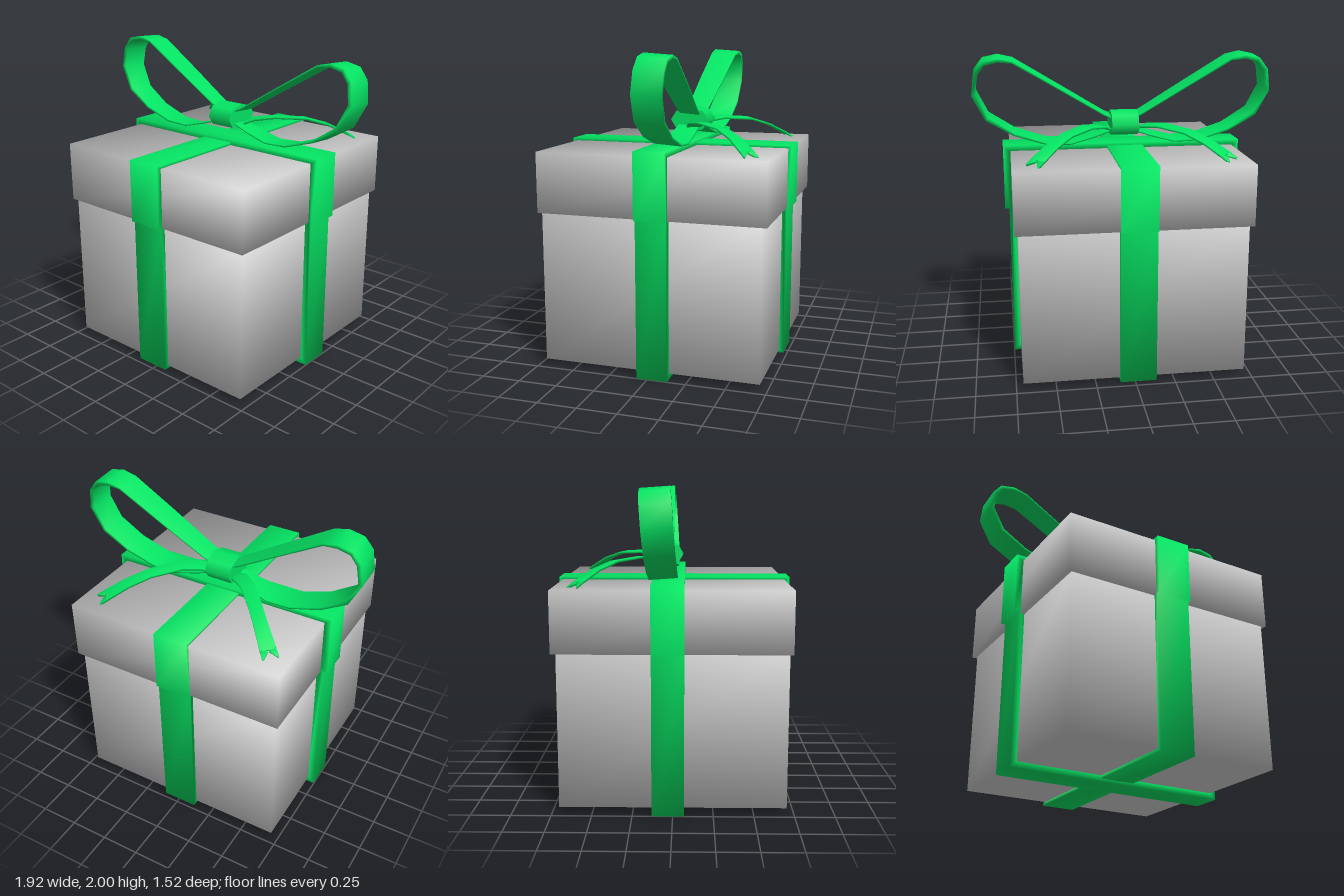
import * as THREE from 'three';
import { mergeVertices } from 'three/addons/utils/BufferGeometryUtils.js';

const paper = new THREE.MeshStandardMaterial({ name: 'grey paper', color: 0xcccccc });
const ribbon = new THREE.MeshStandardMaterial({ name: 'green ribbon', color: 0x04e463 });

const V = (x, y, z) => new THREE.Vector3(x, y, z);

function mesh(name, geometry, material, parent) {
  const m = new THREE.Mesh(geometry, material);
  m.name = name;
  parent.add(m);
  return m;
}

// Shares the corners of a geometry so that its shading runs softly over the edges
function soften(geometry) {
  geometry.deleteAttribute('normal');
  geometry.deleteAttribute('uv');
  const g = mergeVertices(geometry, 1e-4);
  g.computeVertexNormals();
  return g;
}

// Box with evenly softened corners
function softBox(w, h, d) {
  const g = soften(new THREE.BoxGeometry(w, h, d));
  const p = g.attributes.position, n = g.attributes.normal, k = Math.sqrt(1 / 3);
  for (let i = 0; i < p.count; i++) {
    n.setXYZ(i, Math.sign(p.getX(i)) * k, Math.sign(p.getY(i)) * k, Math.sign(p.getZ(i)) * k);
  }
  return g;
}

// Sweeps a flat rectangular band along points: [position, half width, thickness]
function band(rows, widthDir) {
  const pos = [], index = [];
  rows.forEach(([p, half, thick], i) => {
    const before = rows[Math.max(i - 1, 0)][0];
    const after = rows[Math.min(i + 1, rows.length - 1)][0];
    const t = after.clone().sub(before).normalize();
    const w = widthDir.clone().addScaledVector(t, -widthDir.dot(t)).normalize();
    const n = t.clone().cross(w);
    for (const [a, b] of [[1, 1], [-1, 1], [-1, -1], [1, -1]]) {
      const c = p.clone().addScaledVector(w, a * half).addScaledVector(n, b * thick / 2);
      pos.push(c.x, c.y, c.z);
    }
  });
  for (let i = 0; i < rows.length - 1; i++) {
    for (let k = 0; k < 4; k++) {
      const a = i * 4 + k, b = i * 4 + (k + 1) % 4;
      index.push(a, b, b + 4, a, b + 4, a + 4);
    }
  }
  const e = (rows.length - 1) * 4;
  index.push(0, 2, 1, 0, 3, 2, e, e + 1, e + 2, e, e + 2, e + 3);
  const g = new THREE.BufferGeometry();
  g.setAttribute('position', new THREE.Float32BufferAttribute(pos, 3));
  g.setIndex(index);
  g.computeVertexNormals();
  return g;
}

// Ribbon frame around the box, wider where it passes over the lid
function wrap(bodyHalf, lidHalf, bottom, top, width) {
  const outline = (b, l, y0, y1, step) => [
    [-b, y0], [b, y0], [b, step], [l, step], [l, y1], [-l, y1], [-l, step], [-b, step],
  ].map(([x, y]) => new THREE.Vector2(x, y));
  const shape = new THREE.Shape(outline(bodyHalf, lidHalf, bottom, top, 1.01));
  shape.holes.push(new THREE.Path(outline(bodyHalf - 0.05, lidHalf - 0.05, 0.05, 1.385, 1.05)));
  return soften(new THREE.ExtrudeGeometry(shape, { depth: width, bevelEnabled: false }));
}

export function createModel() {
  const group = new THREE.Group();
  group.name = 'giftBox';

  // Box and overhanging lid
  mesh('boxBody', softBox(1.41, 0.98, 1.41), paper, group).position.set(0, 0.53, 0);
  mesh('lid', softBox(1.46, 0.385, 1.46), paper, group).position.set(0, 1.2025, -0.005);

  // Two ribbons crossing at top and bottom
  const side = mesh('sideRibbon', wrap(0.748, 0.777, 0, 1.43, 0.2), ribbon, group);
  side.position.z = -0.13;
  const front = mesh('frontRibbon', wrap(0.735, 0.758, 0.02, 1.412, 0.23), ribbon, group);
  front.rotation.y = Math.PI / 2;
  front.position.x = -0.13;

  // Bow
  const bow = new THREE.Group();
  bow.name = 'bow';
  group.add(bow);

  // Loop path: x, y, half width, thickness
  const loop = [
    [0.03, 1.58, 0.065, 0.01], [0.12, 1.62, 0.07, 0.01], [0.4, 1.79, 0.082, 0.01],
    [0.7, 1.97, 0.088, 0.014], [0.79, 1.985, 0.09, 0.025], [0.88, 1.965, 0.09, 0.028],
    [0.93, 1.9, 0.092, 0.028], [0.948, 1.77, 0.092, 0.028], [0.87, 1.615, 0.092, 0.025],
    [0.7, 1.51, 0.092, 0.016], [0.5, 1.445, 0.09, 0.012], [0.34, 1.438, 0.085, 0.01],
    [0.18, 1.48, 0.075, 0.01], [0.03, 1.53, 0.065, 0.01],
  ];
  // Tail path: x, y, z, half width
  const tail = [
    [0.03, 1.49, -0.08, 0.05], [0.14, 1.54, -0.13, 0.05], [0.24, 1.552, -0.21, 0.045],
    [0.38, 1.535, -0.37, 0.042], [0.48, 1.49, -0.48, 0.044], [0.575, 1.425, -0.575, 0.05],
  ];

  for (const [s, label] of [[1, 'left'], [-1, 'right']]) {
    const rows = loop.map(([x, y, h, t]) => [V(s * x, y, -0.06 - (y - 1.43) * 0.07), h, t]);
    mesh(label + 'Loop', band(rows, V(0, 0.07, 1)), ribbon, bow);

    const tailRows = tail.map(([x, y, z, h]) => [V(s * x, y, z), h, 0.014]);
    const across = V(s * 0.707, 0.1, 0.707).normalize();
    mesh(label + 'Tail', band(tailRows, across), ribbon, bow);

    // Swallow-tail cut: two pointed prongs
    const [end, half] = tailRows[tailRows.length - 1];
    for (const k of [1, -1]) {
      const root = end.clone().addScaledVector(across, k * half / 2);
      const tip = end.clone().addScaledVector(across, k * half * 0.95).add(V(s * 0.035, -0.028, -0.035));
      mesh(label + 'TailTip', band([[root, half / 2, 0.014], [tip, 0.003, 0.014]], across), ribbon, bow);
    }
  }

  // Knot wrapped round the middle of the bow
  const knotShape = new THREE.CylinderGeometry(1, 1, 0.175, 8);
  knotShape.rotateZ(Math.PI / 2);
  knotShape.scale(1, 0.084, 0.128);
  mesh('knot', knotShape, ribbon, bow).position.set(-0.012, 1.555, -0.07);

  return group;
}
